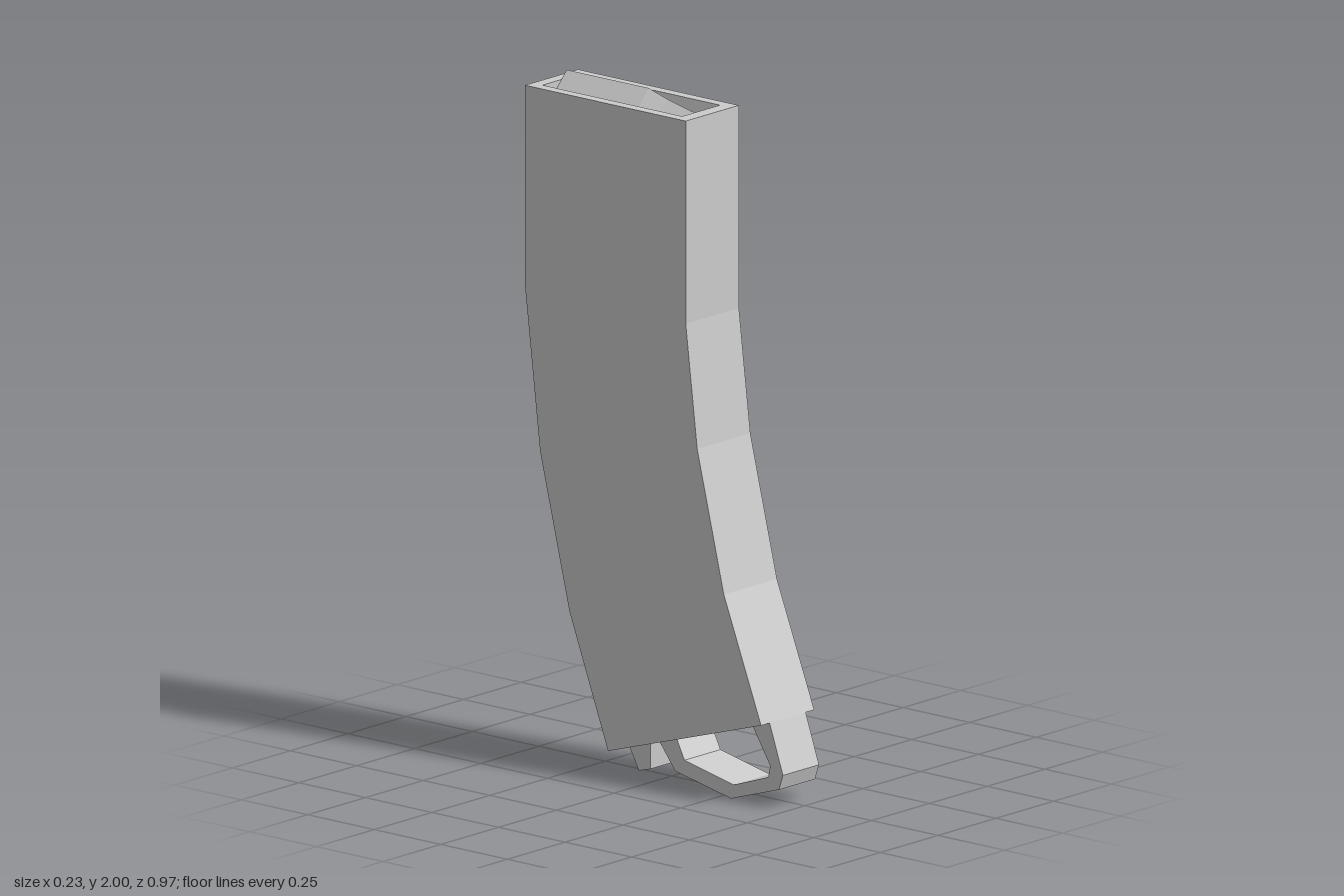
import * as THREE from 'three';

const material = new THREE.MeshStandardMaterial({ color: 0xcccccc, flatShading: true });

function addMesh(group, name, geometry) {
  const mesh = new THREE.Mesh(geometry, material);
  mesh.name = name;
  group.add(mesh);
}

// Joins rings of corners into a closed, flat-faced skin with capped ends
function loft(rings) {
  const pos = [];
  const tri = (...corners) => corners.forEach((c) => pos.push(...c));
  const n = rings[0].length;
  for (let r = 0; r < rings.length - 1; r++) {
    for (let i = 0; i < n; i++) {
      const j = (i + 1) % n;
      const [a, b, c, d] = [rings[r][i], rings[r][j], rings[r + 1][j], rings[r + 1][i]];
      tri(a, b, c);
      tri(a, c, d);
    }
  }
  const first = rings[0], last = rings[rings.length - 1];
  for (let i = 1; i < n - 1; i++) {
    tri(first[0], first[i + 1], first[i]);
    tri(last[0], last[i], last[i + 1]);
  }
  const geometry = new THREE.BufferGeometry();
  geometry.setAttribute('position', new THREE.Float32BufferAttribute(pos, 3));
  geometry.computeVertexNormals();
  return geometry;
}

// Extrudes a (z, y) side profile across x, centred on x = 0
function sideExtrude(points, width) {
  const shape = new THREE.Shape(points.map(([z, y]) => new THREE.Vector2(z, y)));
  const geometry = new THREE.ExtrudeGeometry(shape, { depth: width, bevelEnabled: false });
  return geometry.translate(0, 0, -width / 2).rotateY(-Math.PI / 2);
}

export function createModel() {
  const group = new THREE.Group();

  // Curved body: half width, front z, front y, back z, back y; the last two rows form the top pocket
  const sections = [
    [0.115, 0.435, 0.25, -0.14, 0.075],
    [0.115, 0.295, 0.61, -0.285, 0.46],
    [0.115, 0.195, 1.02, -0.395, 0.91],
    [0.115, 0.152, 1.38, -0.452, 1.39],
    [0.115, 0.152, 1.975, -0.452, 1.975],
    [0.082, 0.11, 1.975, -0.415, 1.975],
    [0.048, 0.11, 1.83, -0.415, 1.83],
  ];
  addMesh(group, 'body', loft(sections.map(([w, zf, yf, zb, yb]) => [
    [w, yf, zf], [w, yb, zb], [-w, yb, zb], [-w, yf, zf],
  ])));

  // Raised spine down the back
  addMesh(group, 'backSpine', sideExtrude([
    [-0.482, 1.96], [-0.482, 1.39], [-0.422, 0.9], [-0.315, 0.46], [-0.175, 0.085],
    [-0.13, 0.1], [-0.275, 0.46], [-0.385, 0.91], [-0.44, 1.39], [-0.44, 1.96],
  ], 0.076));

  // Pull loop under the base
  addMesh(group, 'baseLoop', sideExtrude([
    [0.435, 0.25], [0.485, 0.105], [0.47, 0.06], [0.29, 0.003], [0.08, 0.047], [0.02, 0.125],
    [0.085, 0.145], [0.115, 0.085], [0.3, 0.045], [0.43, 0.09], [0.437, 0.125], [0.37, 0.232],
  ], 0.156));

  // Small catch under the base
  addMesh(group, 'baseCatch', sideExtrude([
    [-0.04, 0.11], [-0.042, 0.025], [-0.085, 0.013], [-0.125, 0.085],
  ], 0.09));

  // Top round lying in the pocket, tapering towards the front
  const outline = [[0.02, 2.0], [-0.03, 1.945], [-0.055, 1.9], [-0.01, 1.85], [0.06, 1.87], [0.07, 1.945]];
  const stations = [[-0.413, 1], [-0.105, 1], [-0.03, 0.72], [0.1, 0.35]];
  addMesh(group, 'round', loft(stations.map(([z, s]) =>
    outline.map(([x, y]) => [0.01 + (x - 0.01) * s, 1.93 + (y - 1.93) * s, z]))));

  return group;
}
